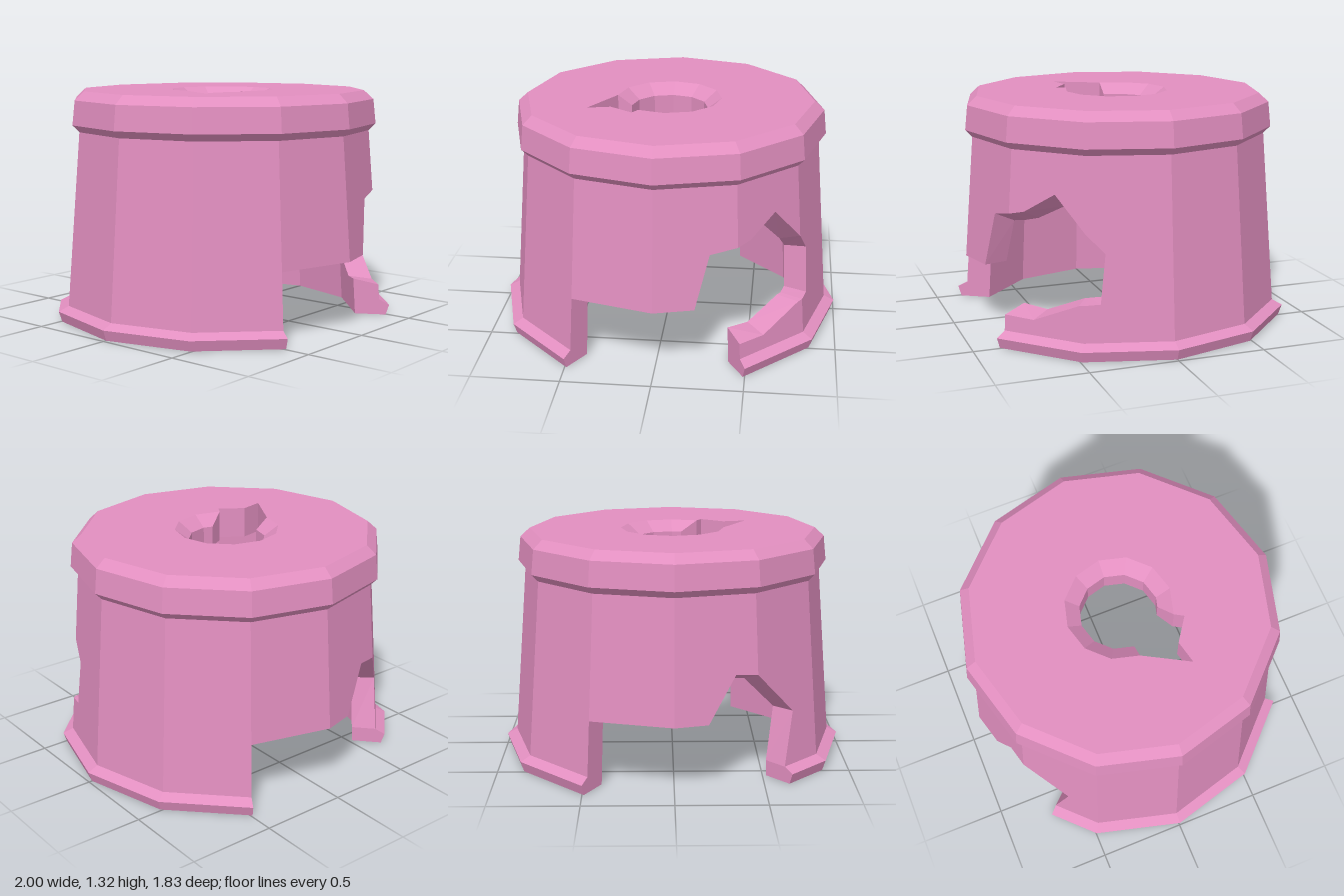
import * as THREE from 'three';

const STEP = 30; // the tower is twelve-sided
const outerR = (y) => 0.948 - 0.08 * y;
const innerR = (y) => 0.8 - 0.062 * y;

// Point on a twelve-sided ring: angle in degrees from +z towards +x.
function ringPoint(angle, y, r) {
  const corner = (k) => {
    const a = THREE.MathUtils.degToRad(k * STEP);
    return new THREE.Vector3(Math.sin(a) * r, y, Math.cos(a) * r);
  };
  const k = Math.floor(angle / STEP);
  return corner(k).lerp(corner(k + 1), angle / STEP - k);
}

const quad = (out, a, b, c, d) => out.push(a, b, c, a, c, d);

function meshFrom(points, name, material) {
  const geometry = new THREE.BufferGeometry().setFromPoints(points);
  geometry.computeVertexNormals();
  const mesh = new THREE.Mesh(geometry, material);
  mesh.name = name;
  return mesh;
}

// Wall points are [angle, y, rise of the inner edge].
const outer = ([a, y]) => ringPoint(a, y, outerR(y));
const inner = ([a, y, rise = 0]) => ringPoint(a, y + rise, innerR(y + rise));

// Flat wall panel with an outer and an inner skin.
function wallPanel(out, outline) {
  const flat = outline.map(([a, y]) => new THREE.Vector2(a / STEP, y));
  for (const [i, j, k] of THREE.ShapeUtils.triangulateShape(flat, [])) {
    out.push(outer(outline[i]), outer(outline[j]), outer(outline[k]));
    out.push(inner(outline[i]), inner(outline[k]), inner(outline[j]));
  }
}

// Thickness of the wall along an opening.
function openingRim(out, path) {
  for (let i = 0; i + 1 < path.length; i++) {
    const [p, q] = [path[i], path[i + 1]];
    quad(out, outer(p), inner(p), inner(q), outer(q));
  }
}

// Stretch of the flared foot, closed at both ends.
function footArc(out, angles) {
  const profile = [[innerR(0), 0], [0.98, 0], [1, 0.06], [outerR(0.09), 0.09], [innerR(0.09), 0.09]];
  const loops = angles.map((a) => profile.map(([r, y]) => ringPoint(a, y, r)));
  const n = profile.length;
  for (let i = 0; i + 1 < loops.length; i++) {
    const [a, b] = [loops[i], loops[i + 1]];
    for (let j = 0; j < n; j++) quad(out, a[j], b[j], b[(j + 1) % n], a[(j + 1) % n]);
  }
  const first = loops[0], last = loops[loops.length - 1];
  for (let j = 1; j + 1 < n; j++) {
    out.push(first[0], first[j], first[j + 1], last[0], last[j + 1], last[j]);
  }
}

export function createModel() {
  const group = new THREE.Group();
  group.name = 'ruinedTower';
  const material = new THREE.MeshStandardMaterial({ color: 0xe28fc0, flatShading: true });

  // Broken edges of the front hole (upper and lower) and the back hole
  const B = 0.09, T = 1.09, ARCH = 0.4;
  const f0 = [14.5, ARCH], f1 = [20, 0.71, -0.06], f2 = [30, 0.74, -0.06], f3 = [36, 0.76, -0.06];
  const f4 = [48, 0.87, -0.09], f5 = [60, 0.68, -0.05], f6 = [67, 0.57, -0.02], f7 = [65.5, 0.3];
  const f8 = [60, 0.295], f9 = [58, 0.29], f10 = [41, 0.175, 0.02], f11 = [30, 0.18, 0.03];
  const b0 = [192, ARCH], b1 = [202, 0.66, -0.05], b2 = [210, 0.65, -0.05], b3 = [228, 0.39], b4 = [222.5, B];
  const top = (a) => [a, T, 0.05];

  // Wall panels, one or two per side
  const wall = [];
  const plain = (a, y) => wallPanel(wall, [[a, y], [a + STEP, y], top(a + STEP), top(a)]);
  for (const a of [90, 120, 240, 270, 300]) plain(a, B);
  for (const a of [150, 330]) plain(a, ARCH);
  wallPanel(wall, [[0, ARCH], f0, f1, f2, top(30), top(0)]);
  wallPanel(wall, [f2, f3, f4, f5, top(60), top(30)]);
  wallPanel(wall, [[30, B], [60, B], f8, f9, f10, f11]);
  wallPanel(wall, [[60, B], [90, B], top(90), top(60), f5, f6, f7, f8]);
  wallPanel(wall, [[180, ARCH], b0, b1, b2, top(210), top(180)]);
  wallPanel(wall, [b2, b3, b4, [240, B], top(240), top(210)]);
  openingRim(wall, [[-30, B], [-30, ARCH], [0, ARCH], f0, f1, f2, f3, f4, f5, f6, f7, f8, f9, f10, f11, [30, B]]);
  openingRim(wall, [[150, B], [150, ARCH], [180, ARCH], b0, b1, b2, b3, b4]);
  group.add(meshFrom(wall, 'wall', material));

  // Flared foot on both sides of the gateways
  const foot = [];
  footArc(foot, [30, 60, 90, 120, 150]);
  footArc(foot, [222.5, 240, 270, 300, 330]);
  group.add(meshFrom(foot, 'foot', material));

  // Cornice around the roof
  const rim = [[outerR(T), T], [0.9, 1.13], [0.885, 1.27], [0.83, 1.32]];
  const cornice = new THREE.Mesh(
    new THREE.LatheGeometry(rim.map(([r, y]) => new THREE.Vector2(r, y)), 12), material);
  cornice.name = 'cornice';
  group.add(cornice);

  // Roof hole with a bevelled edge and a broken notch
  const v = (x, z) => new THREE.Vector2(x, z);
  const arc = (r) => Array.from({ length: 11 }, (_, i) => {
    const p = ringPoint(-30 + i * STEP, 0, r);
    return v(p.x, p.z);
  });
  const notch = [v(-0.3, 0), v(-0.44, 0.25), v(-0.31, 0.22), v(-0.18, 0.31), v(-0.15, 0.26)];
  const upper = [...arc(0.3), ...notch];
  const lower = [v(-0.055, 0.205), ...arc(0.22).slice(1), ...notch];
  const levels = [[upper, 1.32], [lower, 1.26], [lower, 1.14]].map(
    ([loop, y]) => loop.map((p) => new THREE.Vector3(p.x, y, p.y)));
  const hole = [];
  for (let l = 0; l < 2; l++) {
    const [a, b] = [levels[l], levels[l + 1]];
    a.forEach((p, i) => {
      const j = (i + 1) % a.length;
      quad(hole, p, a[j], b[j], b[i]);
    });
  }
  group.add(meshFrom(hole, 'roofHole', material));

  // Roof deck (facing up) and ceiling (facing down)
  const slab = (name, r, y, loop, up) => {
    const place = (p) => v(p.x, up ? -p.y : p.y);
    const edge = Array.from({ length: 12 }, (_, i) => ringPoint(i * STEP, 0, r));
    const shape = new THREE.Shape(edge.map((p) => place(v(p.x, p.z))));
    shape.holes.push(new THREE.Path(loop.map(place)));
    const geometry = new THREE.ShapeGeometry(shape);
    geometry.rotateX(up ? -Math.PI / 2 : Math.PI / 2).translate(0, y, 0);
    const mesh = new THREE.Mesh(geometry, material);
    mesh.name = name;
    group.add(mesh);
  };
  slab('roofDeck', 0.83, 1.32, [...arc(0.3), ...notch.slice(1, 4)], true);
  slab('ceiling', innerR(1.14), 1.14, lower, false);

  return group;
}
